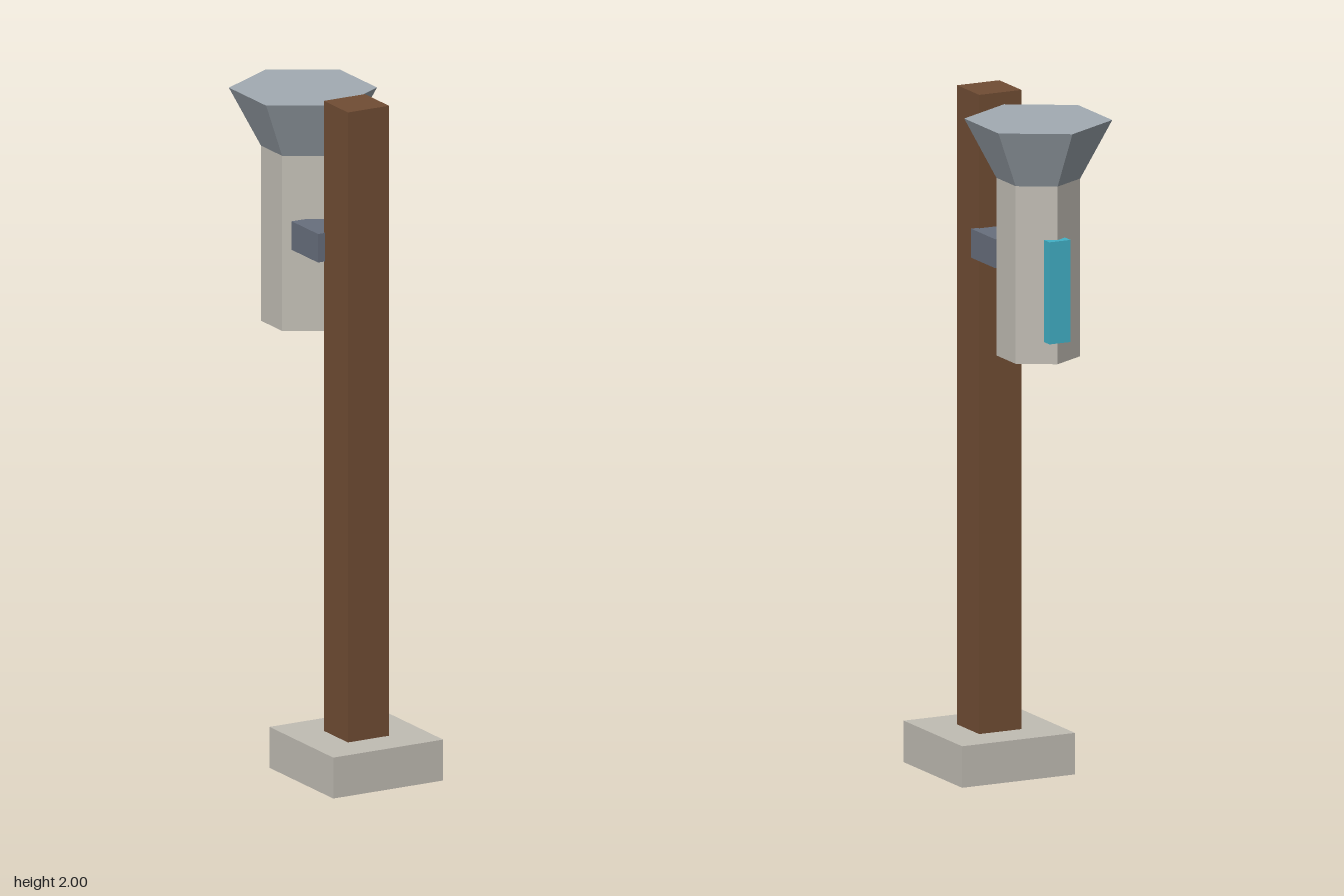
import * as THREE from 'three';

export function createModel() {
  const model = new THREE.Group();
  model.name = 'postLantern';

  const material = (name, color) => {
    const m = new THREE.MeshStandardMaterial({ color });
    m.name = name;
    return m;
  };
  const stone = material('paleStone', 0xc1bdb4);
  const wood = material('brownWood', 0x714d34);
  const iron = material('darkIron', 0x686f7d);
  const steel = material('blueGreySteel', 0xa2abb3);
  const glass = material('tealGlass', 0x42b0c6);

  const add = (name, geometry, mat, y, z) => {
    const mesh = new THREE.Mesh(geometry, mat);
    mesh.name = name;
    mesh.position.set(0, y, z);
    model.add(mesh);
  };
  // Box centred on x, given by its width and its y and z ranges
  const box = (name, mat, width, y0, y1, z0, z1) =>
    add(name, new THREE.BoxGeometry(width, y1 - y0, z1 - z0), mat, (y0 + y1) / 2, (z0 + z1) / 2);
  // Six-sided prism with sharp facets and a corner towards +z
  const hex = (name, mat, rTop, rBottom, y0, y1) => {
    const geometry = new THREE.CylinderGeometry(rTop, rBottom, y1 - y0, 6).toNonIndexed();
    geometry.computeVertexNormals();
    add(name, geometry, mat, (y0 + y1) / 2, -0.137);
  };

  // Foot and upright
  box('base', stone, 0.364, 0, 0.122, -0.015, 0.347);
  box('post', wood, 0.136, 0.122, 2, 0.098, 0.235);

  // Arm that carries the head
  box('bracket', iron, 0.182, 1.523, 1.608, -0.045, 0.105);

  // Head with flared cap and window bar
  hex('body', stone, 0.12, 0.12, 1.275, 1.797);
  hex('cap', steel, 0.212, 0.12, 1.797, 1.97);
  box('window', glass, 0.068, 1.34, 1.64, -0.272, -0.238);

  return model;
}
